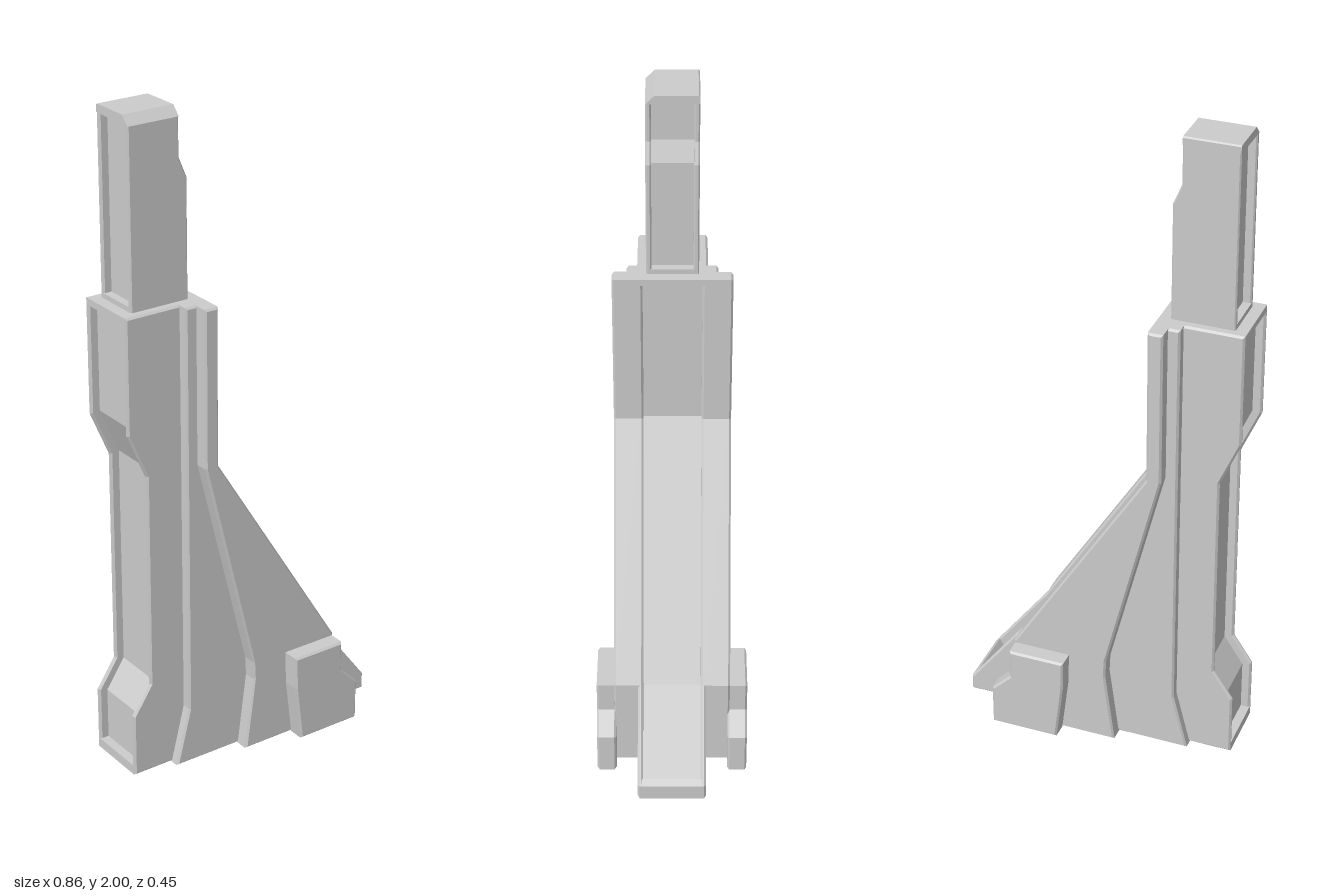
import * as THREE from 'three';

const material = new THREE.MeshStandardMaterial({ color: 0xcccccc, flatShading: true });

// Plate with a side outline in x,y, running from z0 to z1, with fine bevelled edges
function plate(name, points, z0, z1, bevel = 0.006) {
  const shape = new THREE.Shape(points.map(([x, y]) => new THREE.Vector2(x, y)));
  const geometry = new THREE.ExtrudeGeometry(shape, {
    depth: z1 - z0 - 2 * bevel, bevelEnabled: bevel > 0, bevelSegments: 1,
    bevelThickness: bevel, bevelSize: bevel, bevelOffset: -bevel,
  });
  geometry.translate(0, 0, z0 + bevel);
  const mesh = new THREE.Mesh(geometry, material);
  mesh.name = name;
  return mesh;
}

export function createModel() {
  const group = new THREE.Group();
  const add = (...args) => group.add(plate(...args));
  const pair = (name, points, z0, z1) => {
    add(name + 'Left', points, z0, z1);
    add(name + 'Right', points, -z1, -z0);
  };

  // Front edge of the buttress, and the rear edge of the column
  const ramp = [[0.425, 0.05], [0.245, 0.29], [-0.175, 0.97], [-0.175, 1.45]];
  const rear = [[-0.43, 1.45], [-0.43, 1.1], [-0.37, 0.96], [-0.37, 0.29], [-0.43, 0.2], [-0.43, 0]];

  // Recessed web between the column flanges
  add('web', [
    [0.4, 0], [0.4, 0.04], [0.22, 0.272], [-0.203, 0.96], [-0.203, 1.44],
    [-0.402, 1.44], [-0.402, 1.105], [-0.342, 0.965], [-0.342, 0.282], [-0.402, 0.192], [-0.402, 0],
  ], -0.092, 0.092, 0);

  // Column flanges, stepped out toward the buttress
  pair('columnFlange', [[0.425, 0], ...ramp, ...rear], 0.086, 0.102);
  pair('middleStep', [
    [0.24, 0], [0.24, 0.28], ...ramp.slice(2), [-0.255, 1.45], [-0.255, 0.18], [-0.3, 0],
  ], 0.088, 0.132);
  pair('buttressRail', [
    [0.247, 0], ...ramp.slice(1), [-0.22, 1.45], [-0.22, 0.97],
    [-0.053, 0.29], [-0.05, 0.23], [-0.08, 0],
  ], 0.088, 0.174);

  // Lips closing the recesses at the top and bottom
  add('topLip', [[-0.43, 1.43], [-0.175, 1.43], [-0.175, 1.45], [-0.43, 1.45]], -0.095, 0.095, 0.003);
  add('bottomLip', [[-0.43, 0], [0.425, 0], [0.425, 0.05], [0.41, 0.065], [0.39, 0.03], [-0.43, 0.03]], -0.095, 0.095, 0.003);

  // Side feet
  pair('sideFoot', [
    [0.09, 0], [0.3, 0], [0.3, 0.13], [0.24, 0.19], [0.24, 0.285], [0.065, 0.285], [0.068, 0.18],
  ], 0.168, 0.226);

  // Upper post: recessed core, two cheeks and a chamfered cap
  const postOutline = (top) => [
    [-0.395, 1.44], [-0.208, 1.44], [-0.208, 1.8], [-0.233, 1.86], [-0.233, top], [-0.395, top],
  ];
  add('postCore', [
    [-0.37, 1.44], [-0.232, 1.44], [-0.232, 1.795], [-0.257, 1.855], [-0.257, 1.98], [-0.37, 1.98],
  ], -0.064, 0.064, 0);
  add('postCheekLeft', postOutline(1.977), 0.06, 0.076, 0.004);
  add('postCheekRight', postOutline(1.997), -0.076, -0.06, 0.004);
  add('postBottomLip', [[-0.395, 1.44], [-0.208, 1.44], [-0.208, 1.465], [-0.395, 1.465]], -0.066, 0.066, 0);

  // Cap outline is drawn in z,y and turned to run along x
  const cap = plate('postCap', [
    [-0.076, 1.976], [0.076, 1.973], [0.05, 2], [-0.072, 2], [-0.076, 1.996],
  ], 0, 0.162, 0);
  cap.geometry.rotateY(-Math.PI / 2);
  cap.position.x = -0.233;
  group.add(cap);

  return group;
}
